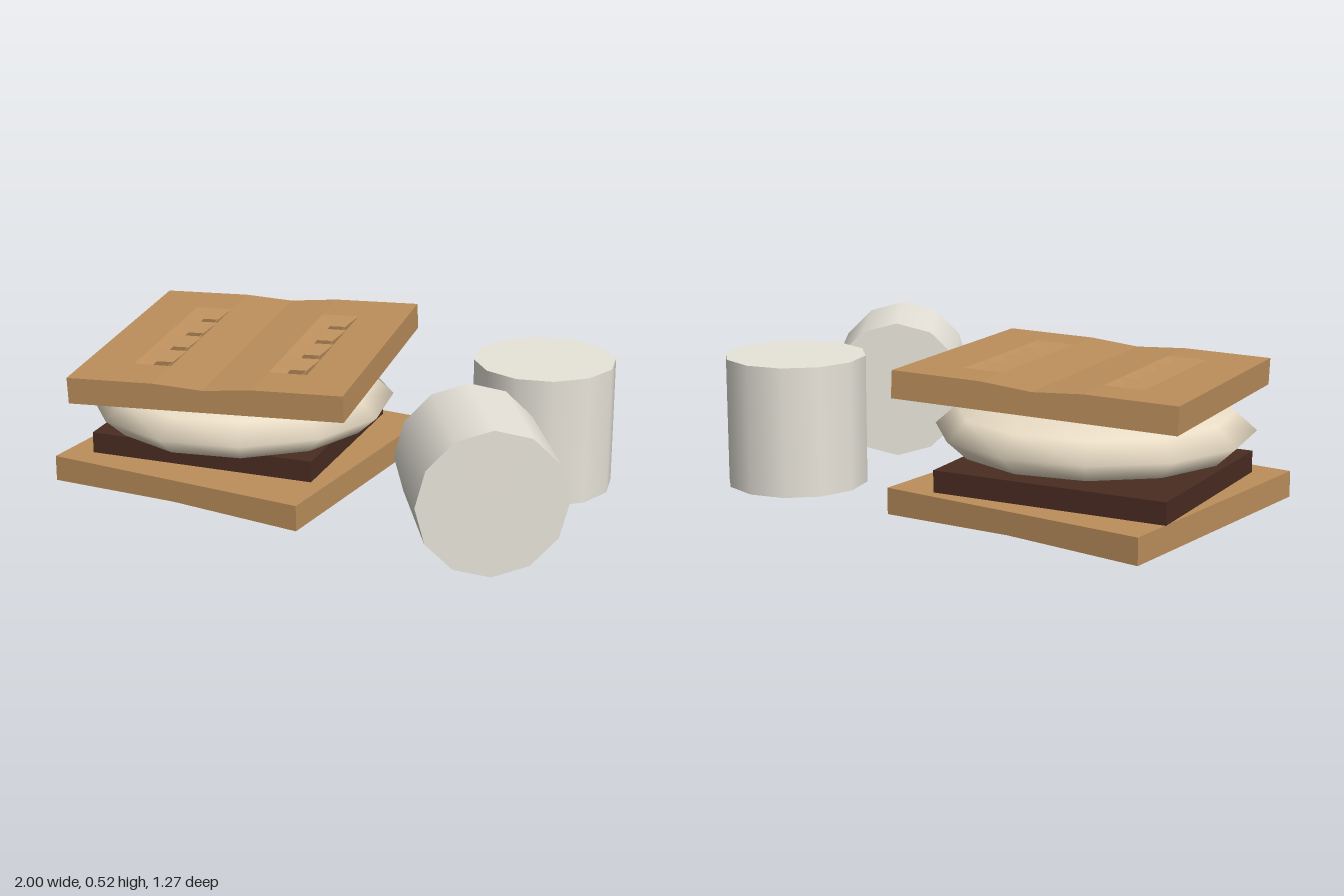
import * as THREE from 'three';

const mat = (color, extra = {}) => {
  const m = new THREE.MeshStandardMaterial({ color });
  return Object.assign(m, extra);
};
const BISCUIT = 0xbc8f5c, DARK_BISCUIT = 0x8f6a42, CHOCOLATE = 0x4a2c22, CREAM = 0xeaddc6, WHITE = 0xe8e4da;

function add(parent, name, geometry, material, x = 0, y = 0, z = 0) {
  const mesh = new THREE.Mesh(geometry, material);
  mesh.name = name;
  mesh.position.set(x, y, z);
  parent.add(mesh);
  return mesh;
}

// Square slab whose profile runs along z; topLine lists its upper edge from left to right
function slab(topLine, thickness) {
  const h = thickness / 2;
  const pts = [[-0.5, -h], [0.5, -h], ...topLine.slice().reverse()];
  const shape = new THREE.Shape(pts.map(([x, y]) => new THREE.Vector2(x, y)));
  return new THREE.ExtrudeGeometry(shape, { depth: 1, bevelEnabled: false }).translate(0, 0, -0.5);
}

// Cracker with a shallow centre crease and two rows of four tapered dimples
function dimpledCracker() {
  const g = new THREE.Group();
  const t = 0.095, h = t / 2, depth = 0.03, inX = 0.18, outX = 0.32, pitch = 0.16, rowEnd = 2 * pitch;
  const half = [[inX, h], [inX, h - depth], [outX, h - depth], [outX, h], [0.5, h]];
  const mirrored = half.map(([x, y]) => [-x, y]).reverse();
  const biscuit = mat(BISCUIT);
  add(g, 'crackerBody', slab([...mirrored, [0, h - 0.014], ...half], t), biscuit);

  // Dimple walls: a four-sided funnel seen from inside
  const width = outX - inX, r = Math.SQRT1_2;
  const funnel = new THREE.CylinderGeometry(r, r * 0.4, depth, 4, 1, true).rotateY(Math.PI / 4);
  funnel.scale(width, 1, pitch);
  const wallMat = mat(BISCUIT, { side: THREE.BackSide, flatShading: true });
  const floor = new THREE.PlaneGeometry(width * 0.4, pitch * 0.4).rotateX(-Math.PI / 2);
  const floorMat = mat(DARK_BISCUIT);
  const endLength = 0.5 - rowEnd;
  const end = new THREE.BoxGeometry(width, depth, endLength);
  for (const side of [-1, 1]) {
    const x = side * (inX + outX) / 2;
    for (let i = 0; i < 4; i++) {
      const z = (i - 1.5) * pitch;
      add(g, 'dimpleWalls', funnel, wallMat, x, h - depth / 2, z);
      add(g, 'dimpleFloor', floor, floorMat, x, h - depth + 0.002, z);
    }
    // Solid biscuit beyond each end of the row
    for (const s of [-1, 1]) add(g, 'crackerEnd', end, biscuit, x, h - depth / 2, s * (rowEnd + endLength / 2));
  }
  return g;
}

export function createModel() {
  const model = new THREE.Group();
  model.name = 'campfireSandwich';

  // Bottom cracker, creased side down
  const bottom = add(model, 'bottomCracker', slab([[-0.5, 0.0465], [0, 0.034], [0.5, 0.0465]], 0.093),
    mat(BISCUIT), -0.45, 0.0465, -0.045);
  bottom.rotation.z = Math.PI;

  // Chocolate square
  const chocolate = add(model, 'chocolate', new THREE.BoxGeometry(0.848, 0.077, 0.754),
    mat(CHOCOLATE), -0.4825, 0.1325, -0.072);
  chocolate.rotation.y = THREE.MathUtils.degToRad(8);

  // Squashed marshmallow
  const profile = [[0, 0.165], [0.33, 0.17], [0.48, 0.205], [0.553, 0.272], [0.48, 0.337], [0.32, 0.382], [0, 0.393]];
  add(model, 'meltedMarshmallow',
    new THREE.LatheGeometry(profile.map(([x, y]) => new THREE.Vector2(x, y)), 12),
    mat(CREAM), -0.4375, 0, -0.01);

  // Top cracker, turned and tipped slightly forward
  const top = dimpledCracker();
  top.name = 'topCracker';
  top.position.set(-0.405, 0.44, -0.0125);
  top.rotation.set(0.034, THREE.MathUtils.degToRad(12.1), 0.03, 'YXZ');
  model.add(top);

  // Two loose marshmallows, one standing and one lying
  const loose = new THREE.CylinderGeometry(0.2535, 0.2535, 0.463, 12);
  const white = mat(WHITE);
  add(model, 'standingMarshmallow', loose, white, 0.597, 0.2315, -0.382);
  const lying = add(model, 'lyingMarshmallow', loose, white, 0.66, 0.2535, 0.295);
  lying.rotation.set(Math.PI / 2, 0.615, 0, 'YXZ');

  return model;
}
